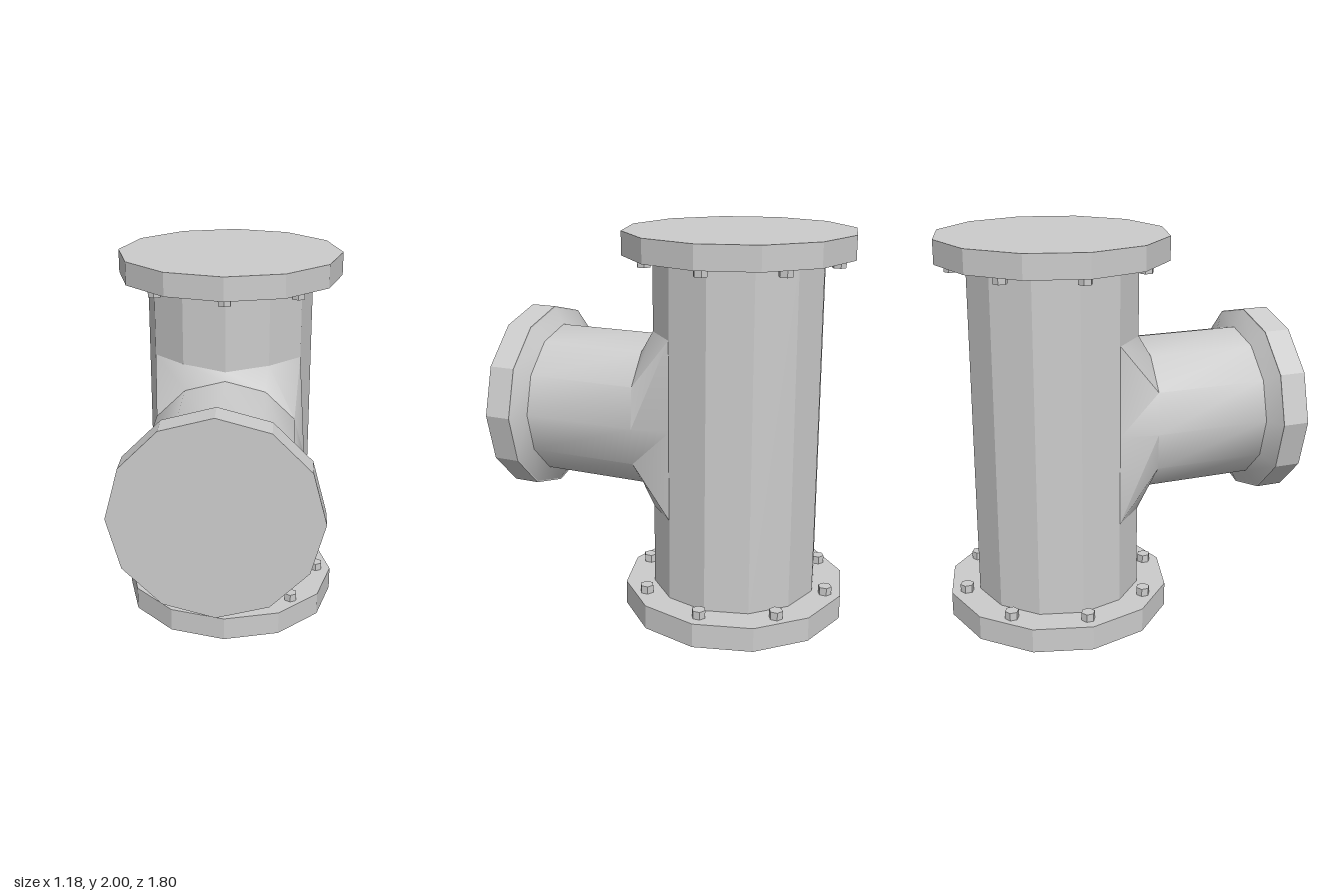
import * as THREE from 'three';
import { toCreasedNormals } from 'three/addons/utils/BufferGeometryUtils.js';

const SIDES = 12;
const AXIS_Z = -0.31; // upright pipe axis
const BRANCH_Y = 1.03; // branch pipe axis

const flat = new THREE.MeshStandardMaterial({ color: 0xcccccc, flatShading: true });
const smooth = new THREE.MeshStandardMaterial({ color: 0xcccccc, side: THREE.DoubleSide });

function cylinder(name, radius, height, sides = SIDES) {
  const mesh = new THREE.Mesh(new THREE.CylinderGeometry(radius, radius, height, sides), flat);
  mesh.name = name;
  return mesh;
}

// Skin a list of closed rings (arrays of points), first ring towards the front
function loft(rings) {
  const pos = [];
  for (let i = 0; i < rings.length - 1; i++) {
    for (let j = 0; j < SIDES; j++) {
      const k = (j + 1) % SIDES;
      const a = rings[i][j], b = rings[i][k], c = rings[i + 1][k], d = rings[i + 1][j];
      for (const p of [a, c, b, a, d, c]) pos.push(...p);
    }
  }
  const geo = new THREE.BufferGeometry();
  geo.setAttribute('position', new THREE.Float32BufferAttribute(pos, 3));
  return toCreasedNormals(geo, 0.6);
}

function branchRing(radius, zAt) {
  return Array.from({ length: SIDES }, (_, j) => {
    const a = (j / SIDES) * Math.PI * 2;
    return [radius * Math.cos(a), BRANCH_Y + radius * Math.sin(a), zAt(Math.abs(Math.sin(a)))];
  });
}

// Where the flared joint lands on the upright pipe: one quadrant, mirrored to four
function jointRing() {
  const quadrant = [[0.377, 0, -0.09], [0.377, 0.468, -0.09], [0.218, 0.468, 0.067], [0, 0.45, 0.124]];
  return Array.from({ length: SIDES }, (_, j) => {
    const h = j % 6;
    const [x, y, z] = quadrant[j <= 3 ? j : j <= 6 ? 6 - j : j <= 9 ? j - 6 : 12 - j];
    const sx = j > 3 && j < 9 ? -1 : 1;
    const sy = h === 0 ? 0 : j < 6 ? 1 : -1;
    return [sx * x, BRANCH_Y + sy * y, z];
  });
}

export function createModel() {
  const model = new THREE.Group();
  model.name = 'pipeTee';

  // Upright pipe
  const pipe = cylinder('mainPipe', 0.435, 1.8);
  pipe.position.set(0, 1, AXIS_Z);
  model.add(pipe);

  // Bolted end flanges, bottom and top
  for (const [label, y, boltY] of [['bottom', 0.064, 0.148], ['top', 1.94, 1.864]]) {
    const flange = cylinder(label + 'Flange', 0.588, label === 'top' ? 0.12 : 0.128);
    flange.position.set(0, y, AXIS_Z);
    model.add(flange);

    const bolts = new THREE.Group();
    bolts.name = label + 'Bolts';
    for (let i = 0; i < 8; i++) {
      const a = (i / 8) * Math.PI * 2;
      const bolt = cylinder('bolt', 0.036, 0.044, 6);
      bolt.position.set(0.505 * Math.sin(a), boltY, AXIS_Z + 0.505 * Math.cos(a));
      bolts.add(bolt);
    }
    model.add(bolts);
  }

  // Branch pipe: collar, straight run and flared joint into the upright pipe
  const branch = new THREE.Mesh(loft([
    branchRing(0.5, () => 0.765),
    branchRing(0.407, () => 0.71),
    branchRing(0.407, (s) => 0.105 + 0.04 * s),
    jointRing(),
  ]), smooth);
  branch.name = 'branchPipe';
  model.add(branch);

  // Branch end flange
  const end = cylinder('branchFlange', 0.502, 0.138);
  end.rotation.x = Math.PI / 2;
  end.position.set(0, BRANCH_Y, 0.831);
  model.add(end);

  return model;
}
